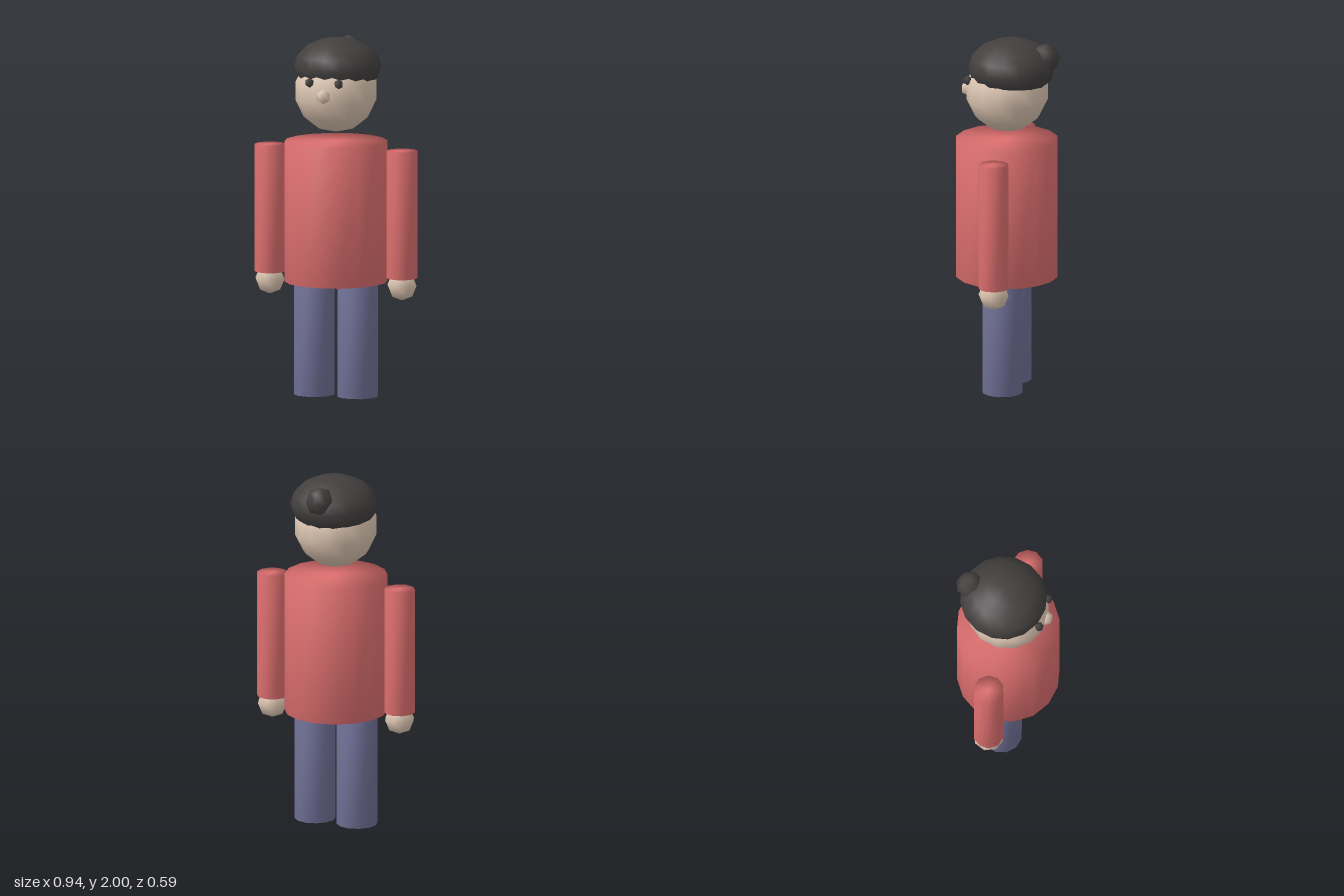
import * as THREE from 'three';
import { mergeVertices } from 'three/addons/utils/BufferGeometryUtils.js';

const mat = (name, color) => {
  const m = new THREE.MeshStandardMaterial({ color });
  m.name = name;
  return m;
};

// Weld every seam so the shading runs smoothly over the rims
function weld(geo) {
  geo.deleteAttribute('normal');
  geo.deleteAttribute('uv');
  const g = mergeVertices(geo, 1e-4);
  g.computeVertexNormals();
  return g;
}

export function createModel() {
  const group = new THREE.Group();
  const skin = mat('skin', 0xdfc8b4);
  const hair = mat('hair', 0x433f3f);
  const shirt = mat('shirt', 0xe07070);
  const trousers = mat('trousers', 0x717198);

  function add(name, geo, material, x, y, z) {
    const mesh = new THREE.Mesh(weld(geo), material);
    mesh.name = name;
    mesh.position.set(x, y, z);
    group.add(mesh);
    return mesh;
  }
  // Upright cylinder between two heights
  const column = (name, r, y0, y1, sides, material, x) =>
    add(name, new THREE.CylinderGeometry(r, r, y1 - y0, sides), material, x, (y0 + y1) / 2, 0.007);
  // Ball with half as many rings as sides
  const ball = (name, r, sides, material, x, y, z) =>
    add(name, new THREE.SphereGeometry(r, sides, sides / 2), material, x, y, z);

  column('torso', 0.286, 0.64, 1.424, 16, shirt, 0);

  // Limbs and eyes, mirrored
  for (const [side, s] of [['left', 1], ['right', -1]]) {
    column(side + 'Leg', 0.114, 0, 0.645, 12, trousers, s * 0.127);
    column(side + 'Arm', 0.085, 0.675, 1.388, 10, shirt, s * 0.386);
    ball(side + 'Hand', 0.085, 8, skin, s * 0.386, 0.635, 0.007);
    ball(side + 'Eye', 0.027, 6, hair, s * 0.085, 1.775, 0.211);
  }

  // Head
  ball('head', 0.232, 14, skin, 0, 1.708, 0.005);
  ball('nose', 0.041, 6, skin, 0, 1.703, 0.226);

  // Flattened cap of hair with a bun at the back
  ball('hair', 0.242, 16, hair, 0, 1.84, -0.02).geometry.scale(1, 0.16 / 0.242, 1).computeVertexNormals();
  ball('hairBun', 0.081, 8, hair, 0, 1.905, -0.211);

  return group;
}
